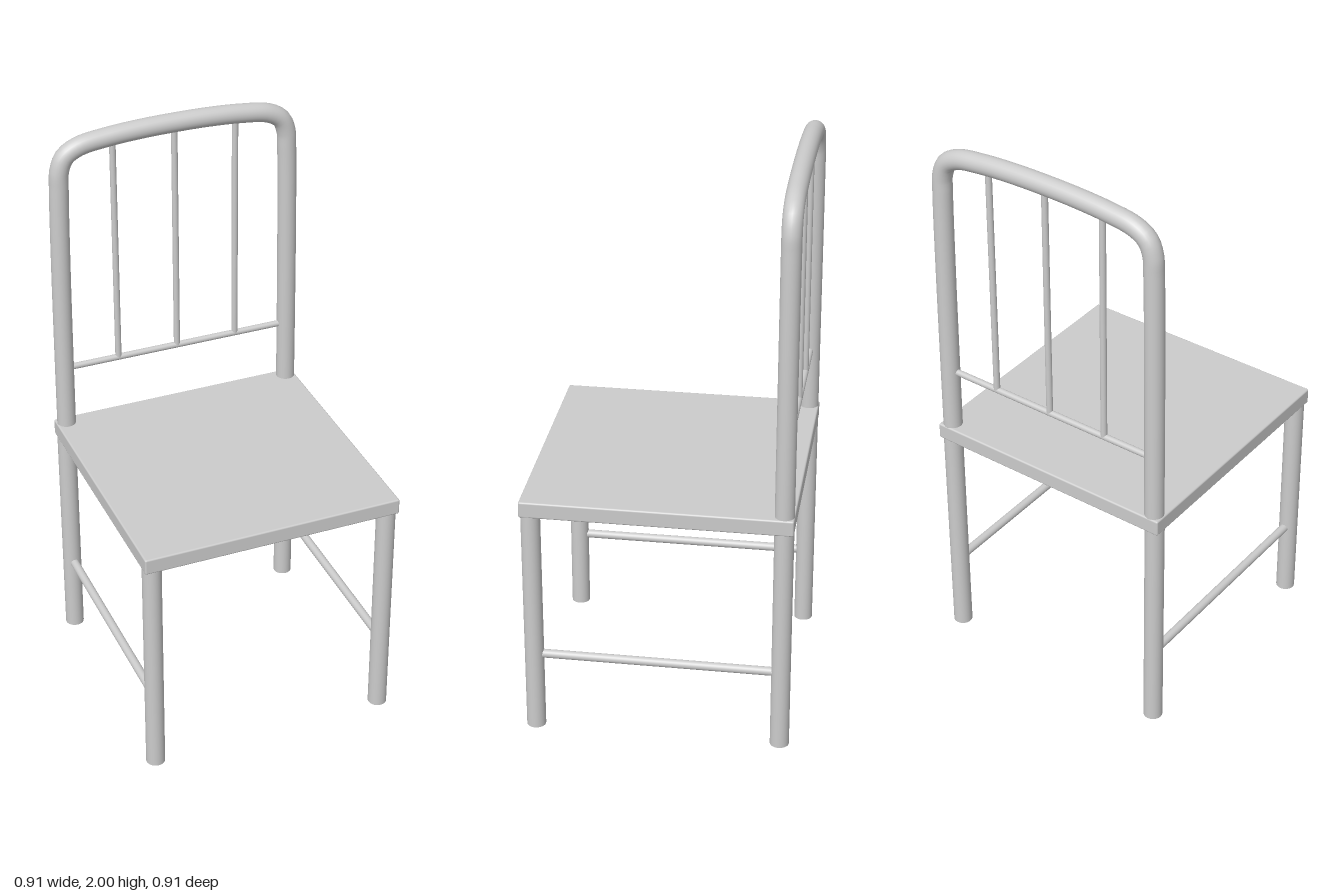
import * as THREE from 'three';
import { RoundedBoxGeometry } from 'three/addons/geometries/RoundedBoxGeometry.js';

export function createModel() {
  const chair = new THREE.Group();
  chair.name = 'chair';
  const material = new THREE.MeshStandardMaterial({ color: 0xcccccc });

  const add = (name, geometry) => {
    const mesh = new THREE.Mesh(geometry, material);
    mesh.name = name;
    chair.add(mesh);
    return mesh;
  };

  // Straight round bar between two points
  const bar = (name, from, to, radius) => {
    const a = new THREE.Vector3(...from), b = new THREE.Vector3(...to);
    const mesh = add(name, new THREE.CylinderGeometry(radius, radius, a.distanceTo(b), 24));
    mesh.position.copy(a).add(b).multiplyScalar(0.5);
    mesh.quaternion.setFromUnitVectors(new THREE.Vector3(0, 1, 0), b.sub(a).normalize());
  };

  const legOffset = 0.423, tubeRadius = 0.033;
  const seatBottom = 0.825, seatTop = 0.882;

  // Seat slab
  const seat = add('seat', new RoundedBoxGeometry(0.914, seatTop - seatBottom, 0.914, 2, 0.006));
  seat.position.y = (seatBottom + seatTop) / 2;

  // Legs and side stretchers
  for (const [side, s] of [['left', 1], ['right', -1]]) {
    const x = s * legOffset;
    bar(side + 'FrontLeg', [x, 0, legOffset], [x, seatBottom + 0.02, legOffset], tubeRadius);
    bar(side + 'BackLeg', [x, 0, -legOffset], [x, seatBottom + 0.02, -legOffset], tubeRadius);
    bar(side + 'Stretcher', [x, 0.285, -legOffset], [x, 0.285, legOffset], 0.015);
  }

  // Bent tube of the backrest, mirrored from one half
  const half = [
    [0.421, 0.86], [0.42, 1.1], [0.417, 1.5], [0.412, 1.8], [0.408, 1.865],
    [0.388, 1.912], [0.34, 1.941], [0.24, 1.957], [0.12, 1.965],
  ];
  const path = [
    ...half.map(([x, y]) => [-x, y]), [0, 1.967], ...half.slice().reverse(),
  ].map(([x, y]) => new THREE.Vector3(x, y, -legOffset));
  const curve = new THREE.CatmullRomCurve3(path, false, 'centripetal');
  add('backFrame', new THREE.TubeGeometry(curve, 160, tubeRadius, 24));

  // Lower rail and spindles of the backrest
  bar('backRail', [-0.41, 1.105, -legOffset], [0.41, 1.105, -legOffset], 0.011);
  for (const x of [-0.22, 0, 0.22]) {
    bar('backSpindle', [x, 1.105, -legOffset], [x, 1.955, -legOffset], 0.011);
  }
  return chair;
}
